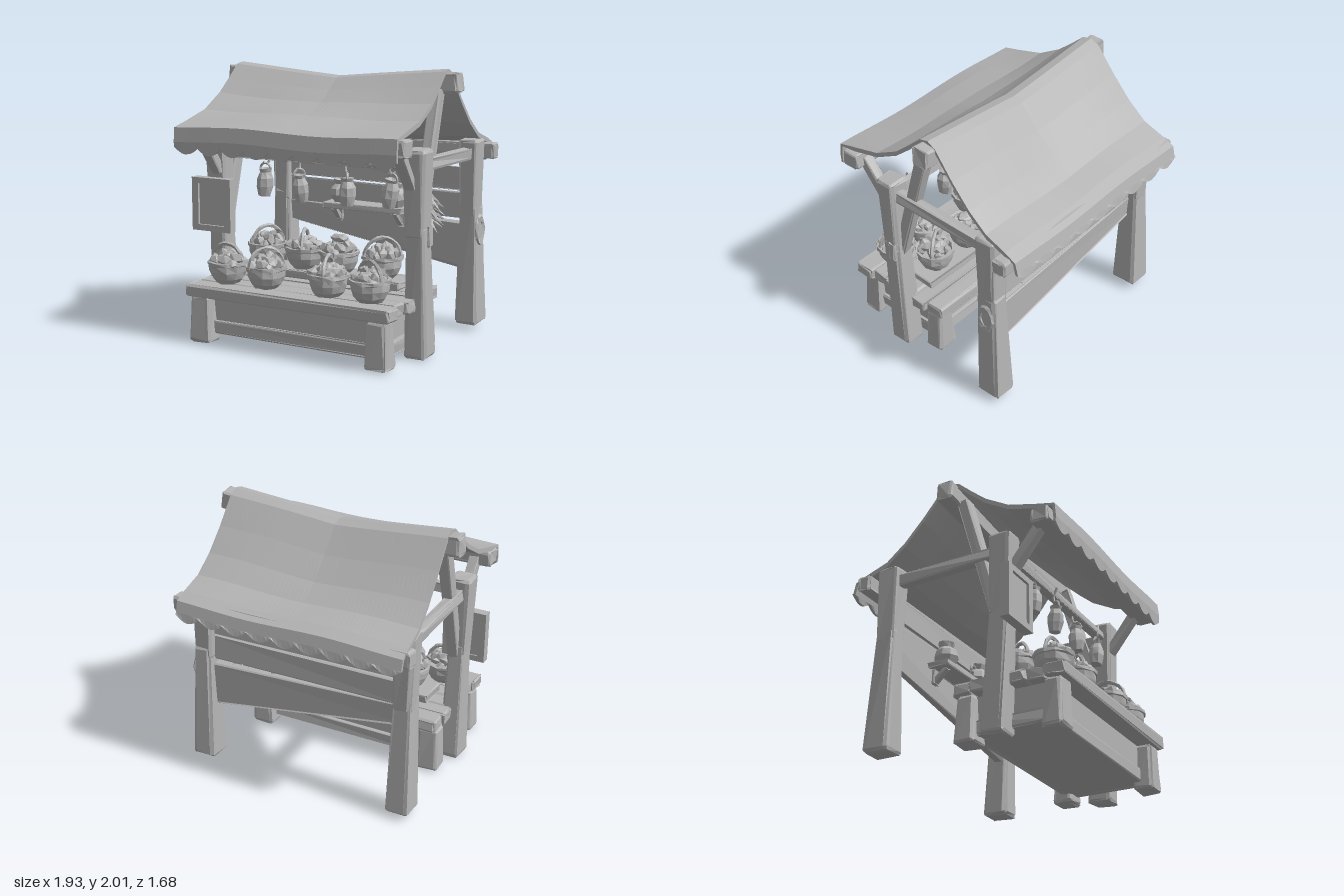
import * as THREE from 'three';
import { RoundedBoxGeometry } from 'three/addons/geometries/RoundedBoxGeometry.js';
import { ParametricGeometry } from 'three/addons/geometries/ParametricGeometry.js';

const V = (x, y, z) => new THREE.Vector3(x, y, z);
const UP = V(0, 1, 0);

export function createModel() {
  const stall = new THREE.Group();
  stall.name = 'marketStall';
  const grey = new THREE.MeshStandardMaterial({ color: 0xb5b5b5, side: THREE.DoubleSide });
  grey.name = 'plain grey';
  let count = 0;

  // faceted normals
  const flat = (geo) => {
    const g = geo.index ? geo.toNonIndexed() : geo;
    g.computeVertexNormals();
    return g;
  };
  const add = (name, geo, parent = stall) => {
    const mesh = new THREE.Mesh(flat(geo), grey);
    mesh.name = name;
    parent.add(mesh);
    return mesh;
  };
  // hand-hewn unevenness: vertices at the same place move together
  const hash = (a, b, c, s) => {
    const n = Math.sin(a * 12.99 + b * 78.23 + c * 37.72 + s * 9.17) * 43758.55;
    return (n - Math.floor(n)) - 0.5;
  };
  const wobble = (geo, amount) => {
    const p = geo.attributes.position, s = ++count;
    for (let i = 0; i < p.count; i++) {
      const k = [p.getX(i), p.getY(i), p.getZ(i)].map((v) => Math.round(v * 400));
      p.setXYZ(i, p.getX(i) + amount * hash(...k, s), p.getY(i) + amount * hash(...k, s + 31),
        p.getZ(i) + amount * hash(...k, s + 67));
    }
    return geo;
  };
  // chamfered timber from a to b; w and d are the section at a, taper scales it at b
  const beam = (name, a, b, w, d, taper = 1, rough = 0.014) => {
    const len = a.distanceTo(b);
    const geo = new RoundedBoxGeometry(w, len, d, 1, Math.min(w, d) * 0.16);
    const p = geo.attributes.position;
    for (let i = 0; i < p.count; i++) {
      const k = 1 + (taper - 1) * (p.getY(i) / len + 0.5);
      p.setX(i, p.getX(i) * k);
      p.setZ(i, p.getZ(i) * k);
    }
    const mesh = add(name, wobble(geo, rough));
    mesh.position.copy(a).lerp(b, 0.5);
    mesh.quaternion.setFromUnitVectors(UP, b.clone().sub(a).normalize());
    return mesh;
  };
  const lathe = (name, pts, sides, parent) =>
    add(name, wobble(new THREE.LatheGeometry(pts.map(([r, y]) => new THREE.Vector2(r, y)), sides), 0.008), parent);

  // posts with a flared foot and a waist, braces and side rails
  for (const x of [-0.8, 0.83]) {
    beam('frontPostFoot', V(x, 0, 0.325), V(x, 0.96, 0.375), 0.175, 0.19, 0.75);
    beam('frontPostTop', V(x, 0.86, 0.372), V(x, 1.48, 0.385), 0.14, 0.14, 1.18);
    beam('backPostFoot', V(x, 0.03, -0.575), V(x, 0.96, -0.55), 0.18, 0.21, 0.72);
    beam('backPostTop', V(x, 0.86, -0.552), V(x, 1.45, -0.545), 0.14, 0.15, 1.12);
    beam('ridgeBrace', V(x * 0.98, 0.85, 0.335), V(x * 0.98, 1.86, 0.045), 0.08, 0.09, 1.1);
    beam('sideRail', V(x, 1.36, 0.33), V(x, 1.345, -0.5), 0.08, 0.085);
    beam('awningBrace', V(x * 0.97, 1.22, 0.44), V(x * 0.97, 1.53, 0.68), 0.08, 0.07);
  }
  // long roof timbers; the ridge sags at the middle
  for (const s of [-1, 1]) {
    beam('ridgeBeam', V(s * 0.955, 1.905, -0.03), V(0, 1.83, -0.03), 0.15, 0.13, 0.9);
  }
  beam('frontBeam', V(-0.9, 1.52, 0.71), V(0.92, 1.52, 0.71), 0.12, 0.14);
  beam('backBeam', V(-0.92, 1.345, -0.715), V(0.96, 1.345, -0.715), 0.12, 0.11);
  beam('hangingRail', V(-0.78, 1.36, 0.38), V(0.78, 1.36, 0.38), 0.07, 0.06);

  // cloth roof: a thin closed section swept along x, with scalloped hems and closed gable edges
  const top = [[0.83, 1.385], [0.835, 1.48], [0.825, 1.585], [0.68, 1.622], [0.46, 1.68], [0.27, 1.785], [0.15, 1.885],
    [0.04, 1.985], [-0.03, 2.0], [-0.1, 1.965], [-0.25, 1.775], [-0.4, 1.61], [-0.55, 1.49], [-0.72, 1.43],
    [-0.81, 1.39], [-0.83, 1.31], [-0.84, 1.25]];
  const last = top.length - 1;
  const under = top.map(([z, y], i) =>
    (i < 3 || i > last - 3 ? [z - Math.sign(z) * 0.02, i % last ? y - 0.014 : y] : [z, y - 0.036]));
  const section = [...top, ...under.reverse(), top[0]];
  const columns = 56;
  const clothPoint = (x, half, u, i) => {
    let [z, y] = section[i];
    y -= 0.08 * (1 - Math.abs(x) / half) * Math.max(0, 1 - Math.abs(z) / 0.6);
    if (y < 1.4 && (z > 0.8 || y < 1.27)) y += 0.05 * (1 - Math.abs(Math.sin(u * Math.PI * 9)));
    else y += 0.01 * Math.sin(5 * x + 4 * z) * Math.min(1, Math.abs(z) * 3);
    return V(x, y, z);
  };
  const cloth = new ParametricGeometry((u, v, out) => {
    const i = Math.round(v * (section.length - 1)), c = Math.round(u * columns);
    const t = (Math.min(columns - 1, Math.max(1, c)) - 1) / (columns - 2);
    const half = 0.865 + 0.025 * Math.min(1, Math.abs(section[i][0]) / 0.8);
    const x = (t * 2 - 1) * half;
    out.copy(clothPoint(x, half, t, i));
    if (c === 0 || c === columns) out.lerp(clothPoint(x, half, t, (2 * last + 1 - i + section.length) % section.length), 0.5);
  }, columns, section.length - 1);
  add('clothRoof', cloth);

  // back wall boards, the lowest one wedge-shaped
  beam('wallBoard', V(-0.78, 1.165, -0.54), V(0.78, 1.14, -0.54), 0.18, 0.04);
  beam('wallBoard', V(-0.78, 0.96, -0.54), V(0.78, 0.94, -0.54), 0.19, 0.04);
  beam('wallBoard', V(-0.78, 0.79, -0.54), V(0.78, 0.64, -0.54), 0.15, 0.035, 2.3);

  // counter: legs, boxed base and plank top
  for (const s of [-1, 1]) {
    beam('counterLeg', V(s * 0.72, 0, 0.735), V(s * 0.72, 0.35, 0.735), 0.18, 0.16, 0.8);
    beam('counterLeg', V(s * 0.72, 0, 0.075), V(s * 0.72, 0.35, 0.08), 0.18, 0.16, 0.8);
  }
  add('counterBase', new THREE.BoxGeometry(1.46, 0.28, 0.6)).position.set(0, 0.2, 0.4);
  for (const z of [0.1, 0.7]) beam('baseRail', V(-0.68, 0.11, z), V(0.68, 0.11, z), 0.1, 0.05);
  for (const s of [-1, 1]) beam('baseRail', V(s * 0.73, 0.11, 0.12), V(s * 0.73, 0.11, 0.7), 0.05, 0.1);
  [[0.76, 0.15], [0.61, 0.14], [0.465, 0.14], [0.325, 0.13], [0.19, 0.13], [0.05, 0.14]].forEach(([z, d], i) =>
    beam('counterPlank', V(-0.81 + 0.02 * (i % 2), 0.395, z), V(0.84 - 0.03 * (i % 2), 0.395, z), 0.09, d));
  beam('raisedPlank', V(-0.64, 0.5, 0.29), V(0.7, 0.5, 0.29), 0.06, 0.24);
  for (const x of [-0.5, 0.02, 0.55]) beam('raisedBlock', V(x, 0.43, 0.29), V(x, 0.48, 0.29), 0.1, 0.18);

  // wall shelf
  beam('shelf', V(-0.34, 0.88, -0.44), V(0.34, 0.88, -0.44), 0.045, 0.18);
  for (const x of [-0.27, 0.27]) {
    beam('shelfBracket', V(x, 0.74, -0.51), V(x, 0.86, -0.51), 0.06, 0.04);
    beam('shelfBracket', V(x, 0.76, -0.5), V(x, 0.86, -0.4), 0.04, 0.04);
  }

  // baskets of produce: x, floor y, z, has handle
  const basketAt = (x, y, z, handle, k) => {
    const g = new THREE.Group();
    g.name = 'basket';
    g.position.set(x, y, z);
    g.rotation.y = k * 0.9;
    stall.add(g);
    lathe('basketBowl', [[0, 0], [0.085, 0], [0.115, 0.035], [0.135, 0.085], [0.14, 0.13], [0.15, 0.135], [0.15, 0.16],
      [0.13, 0.16], [0.12, 0.12], [0, 0.12]], 12, g);
    for (let i = 0; i < 17; i++) {
      const r = 0.112 * Math.sqrt((i + 0.3) / 17), a = i * 2.4 + k;
      const item = add('produce', wobble(new THREE.IcosahedronGeometry(0.036 + 0.008 * (i % 3), 0), 0.02), g);
      item.position.set(r * Math.cos(a), 0.21 - r * r * 4.5, r * Math.sin(a));
      item.scale.set(1.15, 0.7, 0.9);
      item.rotation.set(i, i * 2, k);
    }
    if (handle) {
      const h = add('basketHandle', wobble(new THREE.TorusGeometry(0.132, 0.014, 5, 12, Math.PI), 0.006), g);
      h.position.y = 0.14;
      h.scale.y = 1.1;
    } else {
      const loaf = add('topProduce', wobble(new THREE.IcosahedronGeometry(0.07, 1), 0.02), g);
      loaf.position.y = 0.25;
      loaf.scale.set(1.2, 0.4, 0.7);
    }
  };
  [[-0.57, 1], [-0.24, 1], [0.27, 1], [0.6, 1]].forEach(([x, h], i) => basketAt(x, 0.44, 0.64, h, i));
  [[-0.44, 1], [-0.12, 1], [0.17, 0], [0.52, 1]].forEach(([x, h], i) => basketAt(x, 0.53, 0.3, h, i + 4.6));

  // pots on the shelf
  for (const [x, s] of [[-0.22, -1], [0.25, 1]]) {
    const g = new THREE.Group();
    g.name = 'shelfPot';
    g.position.set(x, 0.9, -0.44);
    stall.add(g);
    lathe('potBody', [[0, 0], [0.06, 0], [0.095, 0.06], [0.085, 0.11], [0.05, 0.145], [0.065, 0.18], [0.045, 0.175],
      [0, 0.13]], 9, g);
    add('potHandle', new THREE.TorusGeometry(0.035, 0.01, 5, 8), g).position.set(-s * 0.075, 0.125, 0);
  }
  // jugs hung on hooks
  [[-0.4, 1.06], [-0.08, 1.04], [0.29, 1.04], [0.62, 1.06]].forEach(([x, y], i) => {
    const g = new THREE.Group();
    g.name = 'hangingJug';
    g.position.set(x, y, 0.4);
    g.rotation.set(0, i, i % 2 ? 0.12 : -0.05);
    stall.add(g);
    lathe('jugBody', [[0, 0], [0.045, 0], [0.06, 0.07], [0.058, 0.13], [0.038, 0.175], [0.048, 0.2], [0.03, 0.2],
      [0, 0.16]], 8, g);
    add('jugHandle', new THREE.TorusGeometry(0.045, 0.009, 5, 8, Math.PI), g).position.y = 0.195;
    const hook = add('hook', new THREE.TubeGeometry(new THREE.CatmullRomCurve3([V(-0.02, 0.25, 0), V(0.01, 0.235, 0),
      V(0.025, 0.27, 0), V(0, 0.35, 0)]), 8, 0.01, 5), g);
    hook.rotation.y = 0.6;
  });

  // braid of dried peppers on the back wall
  for (let i = 0; i < 30; i++) {
    const t = i / 29, a = i * 2.4, r = 0.02 + 0.055 * Math.sin(Math.PI * Math.min(1, t * 0.75 + 0.1));
    const pepper = add('pepper', new THREE.ConeGeometry(0.024, 0.11, 5));
    pepper.position.set(0.54 + r * Math.cos(a), 0.98 - 0.22 * t, -0.46 + r * Math.sin(a));
    pepper.quaternion.setFromUnitVectors(UP, V(Math.cos(a), -0.6, Math.sin(a)).normalize());
  }
  beam('ladle', V(0.37, 0.94, -0.5), V(0.35, 1.1, -0.5), 0.05, 0.02, 0.4, 0.004);

  // framed notice board on the front post
  const rect = (C, w, h) => new C([[-w, -h], [w, -h], [w, h], [-w, h]].map(([x, y]) => new THREE.Vector2(x, y)));
  const frame = rect(THREE.Shape, 0.17, 0.2);
  frame.holes.push(rect(THREE.Path, 0.115, 0.155));
  const frameMesh = add('boardFrame', new THREE.ExtrudeGeometry(frame, { depth: 0.07, bevelEnabled: false }));
  frameMesh.position.set(-0.8, 0.97, 0.445);
  add('boardPanel', new THREE.BoxGeometry(0.25, 0.33, 0.04)).position.set(-0.8, 0.97, 0.475);

  // rope coil on the back post and peg block on the front post
  const coil = add('ropeCoil', wobble(new THREE.TorusGeometry(0.06, 0.018, 5, 12), 0.01));
  coil.position.set(0.9, 0.76, -0.555);
  coil.rotation.y = Math.PI / 2;
  coil.scale.y = 1.6;
  beam('peg', V(0.895, 0.8, 0.345), V(0.895, 0.94, 0.345), 0.05, 0.06);

  return stall;
}
